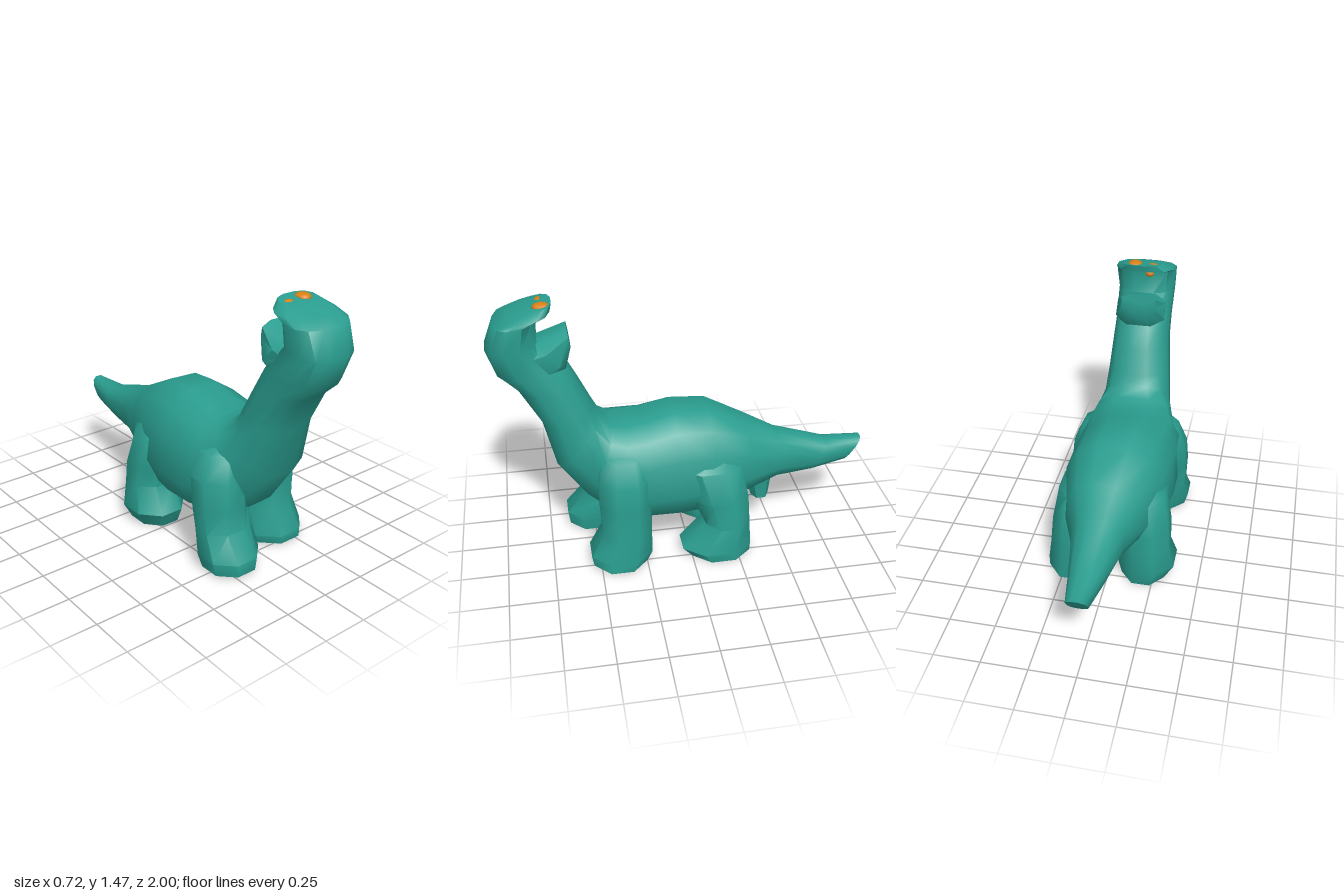
import * as THREE from 'three';
import { toCreasedNormals } from 'three/addons/utils/BufferGeometryUtils.js';

const skin = new THREE.MeshStandardMaterial({ color: 0x2a9d8f });
const orange = new THREE.MeshStandardMaterial({ color: 0xd98014 });

// Skin a list of equal-length point rings and close both ends.
function loft(rings) {
  const n = rings[0].length;
  const tris = [];
  const centre = (ring) => ring.reduce((s, p) => s.add(p), new THREE.Vector3()).divideScalar(n);
  for (let i = 0; i < rings.length - 1; i++) {
    for (let j = 0; j < n; j++) {
      const k = (j + 1) % n;
      const [a, b, c, d] = [rings[i][j], rings[i][k], rings[i + 1][k], rings[i + 1][j]];
      tris.push([a, b, c], [a, c, d]);
    }
  }
  const first = rings[0], last = rings[rings.length - 1];
  const c0 = centre(first), c1 = centre(last);
  for (let j = 0; j < n; j++) {
    const k = (j + 1) % n;
    tris.push([c0, first[k], first[j]], [c1, last[j], last[k]]);
  }
  // A negative volume means the faces point inwards, so turn them round.
  const volume = tris.reduce((v, [a, b, c]) => v + a.dot(b.clone().cross(c)), 0);
  const points = tris.flatMap(([a, b, c]) => (volume < 0 ? [a, c, b] : [a, b, c]));
  return toCreasedNormals(new THREE.BufferGeometry().setFromPoints(points), 0.9);
}

// Cross-section between a lower and an upper point of the side profile.
function section([z0, y0, z1, y1, w, taper = 0, shift = 0], sides = 12) {
  const round = (v) => Math.sign(v) * Math.abs(v) ** 0.8;
  const top = round(Math.cos(Math.PI / sides));
  return Array.from({ length: sides }, (_, i) => {
    const a = ((i + 0.5) / sides) * Math.PI * 2;
    const s = THREE.MathUtils.clamp(round(Math.sin(a)) / top, -1, 1);
    const t = (s + 1) / 2;
    const x = shift + round(Math.cos(a)) * w * (1 - taper * s);
    return new THREE.Vector3(x, y0 + (y1 - y0) * t, z0 + (z1 - z0) * t);
  });
}

// Horizontal leg ring spanning x0..x1 and z0..z1.
function legRing([y, x0, x1, z0, z1], sides = 8) {
  return Array.from({ length: sides }, (_, i) => {
    const a = ((i + 0.5) / sides) * Math.PI * 2;
    const r = 1 / Math.cos(Math.PI / sides);
    return new THREE.Vector3(
      (x0 + x1) / 2 + (Math.cos(a) * r * (x1 - x0)) / 2, y,
      (z0 + z1) / 2 + (Math.sin(a) * r * (z1 - z0)) / 2);
  });
}

export function createModel() {
  const group = new THREE.Group();
  const add = (name, geometry, material = skin) => {
    const mesh = new THREE.Mesh(geometry, material);
    mesh.name = name;
    group.add(mesh);
    return mesh;
  };

  // Tail, body, neck and skull: lower z, y, upper z, y, half width, taper, sideways shift
  add('body', loft([
    [-0.9, 0.39, -1, 0.53, 0.055],
    [-0.7, 0.36, -0.8, 0.53, 0.09],
    [-0.5, 0.36, -0.5, 0.62, 0.14, 0.1],
    [-0.32, 0.31, -0.33, 0.71, 0.21, 0.1],
    [-0.1, 0.23, -0.12, 0.81, 0.28, 0.1, -0.01],
    [0.06, 0.21, 0.07, 0.815, 0.29, 0.1, -0.02],
    [0.24, 0.21, 0.22, 0.775, 0.29, 0.05, -0.02],
    [0.42, 0.24, 0.32, 0.765, 0.27, -0.1, -0.02],
    [0.54, 0.34, 0.4, 0.775, 0.215, -0.25, -0.01],
    [0.69, 0.56, 0.46, 0.82, 0.19, 0, -0.01],
    [0.75, 0.82, 0.49, 0.88, 0.175, 0, -0.01],
    [0.86, 1.02, 0.55, 1.01, 0.16, 0, -0.005],
    [0.95, 1.1, 0.61, 1.13, 0.155, 0, -0.005],
    [1, 1.25, 0.745, 1.27, 0.16, 0, -0.005],
    [0.95, 1.38, 0.74, 1.4, 0.17, 0, -0.005],
    [0.88, 1.41, 0.67, 1.43, 0.16, 0, -0.005],
    [0.8, 1.445, 0.66, 1.468, 0.11],
  ].map((s) => section(s))));

  // Lower jaw, open towards the back
  add('lowerJaw', loft([
    [0.66, 1.08, 0.82, 1.26, 0.14],
    [0.61, 1.13, 0.74, 1.27, 0.145],
    [0.58, 1.23, 0.595, 1.33, 0.1],
  ].map((s) => section(s, 8))));

  // Legs: y, x range and z range of each ring, from hip to sole
  const legs = {
    frontLeftLeg: [
      [0.71, 0.06, 0.14, 0.3, 0.4], [0.64, 0.04, 0.255, 0.23, 0.47],
      [0.52, 0.05, 0.31, 0.21, 0.49], [0.38, 0.06, 0.325, 0.22, 0.49],
      [0.2, 0.04, 0.33, 0.22, 0.48], [0.07, 0.03, 0.35, 0.22, 0.55],
      [0.02, 0.05, 0.355, 0.25, 0.54],
    ],
    frontRightLeg: [
      [0.71, -0.16, -0.06, 0.33, 0.44], [0.63, -0.275, -0.04, 0.27, 0.51],
      [0.5, -0.325, -0.05, 0.27, 0.54], [0.36, -0.335, -0.06, 0.3, 0.55],
      [0.22, -0.33, -0.05, 0.33, 0.55], [0.1, -0.35, -0.05, 0.35, 0.65],
      [0.025, -0.33, -0.06, 0.37, 0.64],
    ],
    hindLeftLeg: [
      [0.64, 0.08, 0.19, -0.2, -0.08], [0.54, 0.06, 0.28, -0.27, 0.05],
      [0.36, 0.06, 0.31, -0.31, -0.01], [0.2, 0.05, 0.32, -0.32, -0.08],
      [0.06, 0.04, 0.345, -0.325, 0.05], [0.01, 0.07, 0.34, -0.32, 0.0],
    ],
    hindRightLeg: [
      [0.64, -0.2, -0.08, -0.2, -0.08], [0.54, -0.29, -0.06, -0.27, 0.02],
      [0.36, -0.325, -0.06, -0.3, -0.02], [0.24, -0.33, -0.06, -0.3, -0.05],
      [0.1, -0.36, -0.05, -0.31, 0.03], [0.01, -0.31, -0.07, -0.29, -0.01],
    ],
  };
  for (const [name, rings] of Object.entries(legs)) add(name, loft(rings.map((r) => legRing(r))));

  // Small stub under the tail
  add('tailStub', loft([
    [0.42, -0.06, 0.08, -0.52, -0.33],
    [0.3, -0.05, 0.06, -0.485, -0.36],
    [0.2, -0.04, 0.05, -0.475, -0.39],
  ].map((r) => legRing(r, 6))));

  // Orange specks on the snout: x, y, z and half sizes
  [
    [0.04, 1.455, 0.71, 0.04, 0.02, 0.045],
    [-0.06, 1.45, 0.72, 0.035, 0.012, 0.02],
    [-0.04, 1.4, 0.725, 0.025, 0.02, 0.02],
  ].forEach(([x, y, z, sx, sy, sz], i) => {
    const speck = add('speck' + (i + 1), new THREE.IcosahedronGeometry(1, 1), orange);
    speck.position.set(x, y, z);
    speck.scale.set(sx, sy, sz);
  });

  return group;
}
